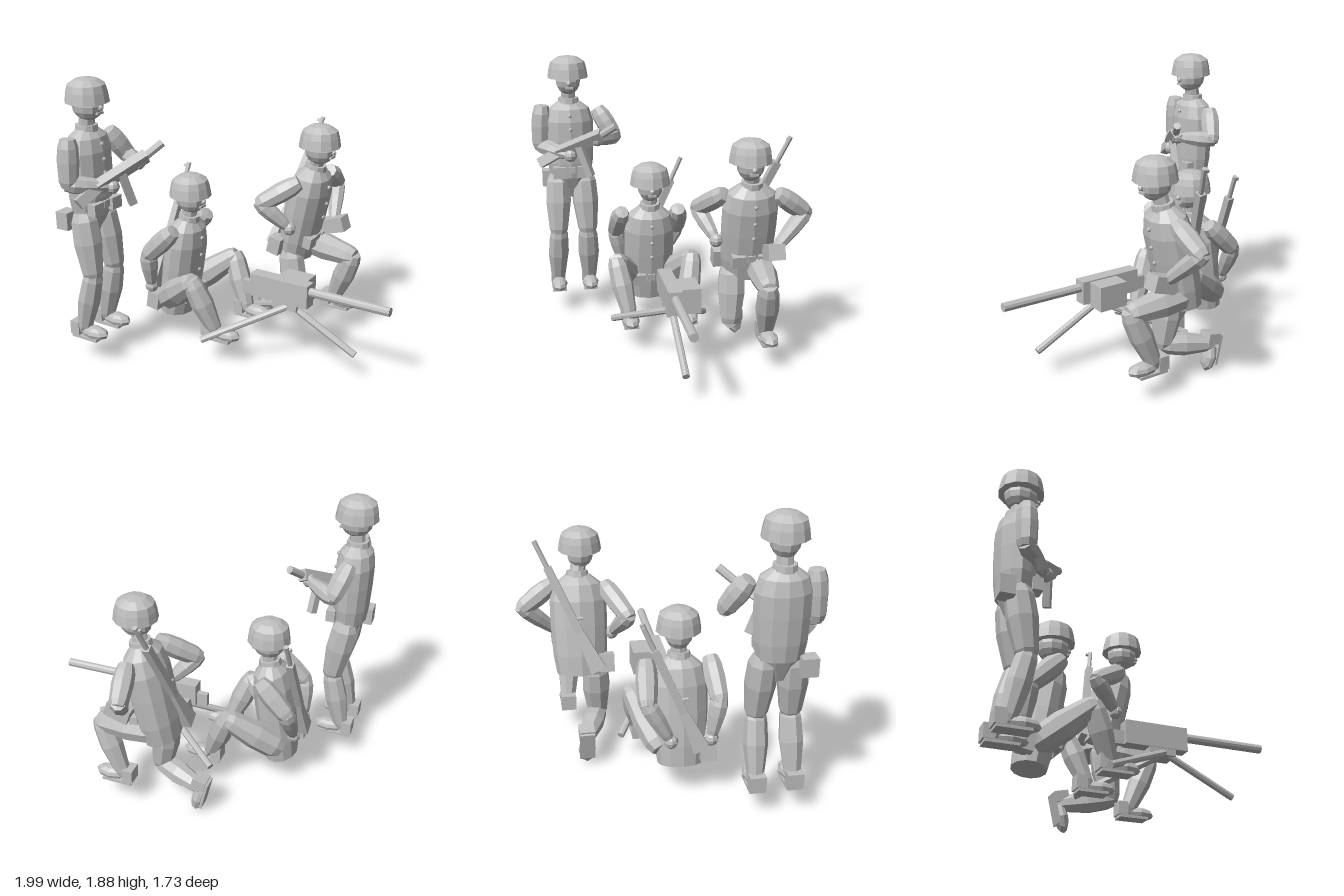
import * as THREE from 'three';

const grey = new THREE.MeshStandardMaterial({ color: 0xbfbfbf, flatShading: true });
grey.name = 'plain grey';
const UP = new THREE.Vector3(0, 1, 0);
const V = (p) => new THREE.Vector3(...p);

function add(parent, name, geo, pos = [0, 0, 0], scale = [1, 1, 1]) {
  const m = new THREE.Mesh(geo, grey);
  m.name = name;
  m.position.set(...pos);
  m.scale.set(...scale);
  parent.add(m);
  return m;
}
const box = (parent, name, size, pos) => add(parent, name, new THREE.BoxGeometry(...size), pos);
const lathe = (pts, sides) => new THREE.LatheGeometry(pts.map(([r, y]) => new THREE.Vector2(r, y)), sides);

// Group whose +y axis runs from a to b
function along(parent, name, a, b) {
  const g = new THREE.Group();
  g.name = name;
  const d = V(b).sub(V(a));
  g.position.set(...a);
  g.userData.length = d.length();
  g.quaternion.setFromUnitVectors(UP, d.normalize());
  parent.add(g);
  return g;
}

// Faceted sleeve or trouser section with rounded ends
function limb(parent, name, a, b, [r0, rm, r1], sides = 8) {
  const g = along(parent, name, a, b), L = g.userData.length;
  add(g, name + 'Section', lathe([[0, -0.03], [r0 * 0.75, -0.025], [r0, 0.03], [rm, L * 0.45],
    [r1, L - 0.02], [r1 * 0.75, L + 0.02], [0, L + 0.025]], sides));
}
function rod(parent, name, a, b, r, sides = 8) {
  const g = along(parent, name, a, b), L = g.userData.length;
  add(g, name + 'Rod', new THREE.CylinderGeometry(r, r, L, sides), [0, L / 2, 0]);
}
function bar(parent, name, a, b, w, d) {
  const g = along(parent, name, a, b), L = g.userData.length;
  box(g, name + 'Bar', [w, L, d], [0, L / 2, 0]);
}

// Shoe pointing along +x, turned by pitch
function shoe(parent, ankle, pitch = 0) {
  const g = new THREE.Group();
  g.name = 'shoe';
  g.position.set(...ankle);
  g.rotation.z = pitch;
  add(g, 'toe', new THREE.SphereGeometry(1, 8, 6), [0.085, -0.015, 0], [0.105, 0.045, 0.058]);
  box(g, 'heel', [0.07, 0.09, 0.1], [-0.045, 0.005, 0]);
  box(g, 'sole', [0.2, 0.018, 0.1], [0.03, -0.05, 0]);
  parent.add(g);
}

function leg(parent, hip, knee, ankle, pitch) {
  limb(parent, 'thigh', hip, knee, [0.088, 0.094, 0.07]);
  limb(parent, 'shin', knee, ankle, [0.068, 0.076, 0.052]);
  shoe(parent, [ankle[0], ankle[1], ankle[2]], pitch);
}

function arm(parent, shoulder, elbow, hand) {
  limb(parent, 'upperArm', shoulder, elbow, [0.064, 0.068, 0.06]);
  const wrist = V(elbow).lerp(V(hand), 0.85).toArray();
  limb(parent, 'forearm', elbow, wrist, [0.058, 0.056, 0.042]);
  add(parent, 'hand', new THREE.SphereGeometry(0.045, 8, 6), hand);
}

function head(parent, [x, y, z]) {
  const g = new THREE.Group();
  g.name = 'head';
  g.position.set(x, y, z);
  add(g, 'face', new THREE.SphereGeometry(1, 10, 8), [0, 0, 0], [0.105, 0.1, 0.087]);
  add(g, 'helmet', lathe([[0, 0.03], [0.14, 0.02], [0.13, 0.085], [0.118, 0.128], [0.07, 0.16], [0, 0.173]], 12));
  add(g, 'nose', new THREE.SphereGeometry(0.018, 6, 5), [0.104, -0.01, 0]);
  box(g, 'moustache', [0.02, 0.014, 0.055], [0.092, -0.042, 0]);
  parent.add(g);
}

// Tunic from waist to collar, with buttons, belt pouches and neck
function torso(parent, bottom, top, width, beltAt, headPos) {
  const g = along(parent, 'torso', bottom, top), L = g.userData.length, k = 0.73;
  add(g, 'tunic', lathe([[0, 0], [width * 0.84, 0], [width * 0.95, L * 0.2], [width, L * 0.5],
    [width, L * 0.75], [width * 0.84, L * 0.91], [width * 0.44, L], [0, L]], 12), [0, 0, 0], [k, 1, 1]);
  add(g, 'collar', new THREE.CylinderGeometry(0.07, 0.075, 0.04, 10), [0, L + 0.005, 0]);
  for (const t of [0.5, 0.66, 0.84])
    add(g, 'button', new THREE.SphereGeometry(0.014, 6, 5), [width * k * (t > 0.8 ? 0.94 : 1), L * t, 0]);
  for (const s of [-1, 1]) box(g, 'beltPouch', [0.06, 0.08, 0.09], [width * k * 0.86, beltAt, s * 0.085]);
  box(g, 'buckle', [0.02, 0.045, 0.05], [width * k * 0.95, beltAt + 0.015, 0]);
  box(g, 'hipBag', [0.09, 0.115, 0.1], [-0.085, beltAt - 0.08, width * 0.87]);
  rod(parent, 'neck', top, headPos, 0.05);
}

function rifle(parent, butt, muzzle) {
  const g = along(parent, 'rifle', butt, muzzle), L = g.userData.length;
  const stock = new THREE.CylinderGeometry(0.035, 0.075, L * 0.32, 4).rotateY(Math.PI / 4);
  add(g, 'stock', stock, [0, L * 0.16, 0], [0.6, 1, 1]);
  box(g, 'foreStock', [0.045, L * 0.5, 0.05], [0, L * 0.55, 0]);
  add(g, 'barrel', new THREE.CylinderGeometry(0.016, 0.016, L * 0.25, 8), [0, L * 0.875, 0]);
  box(g, 'sight', [0.045, 0.02, 0.015], [-0.01, L * 0.97, 0]);
  rod(g, 'bolt', [0, L * 0.4, 0], [0, L * 0.38, 0.06], 0.01, 6);
}

function standingSoldier() {
  const g = new THREE.Group();
  g.name = 'standingSoldier';
  const h = [-0.84, 1.69, 0.61];
  head(g, h);
  torso(g, [-0.855, 1.0, 0.61], [-0.86, 1.54, 0.61], 0.17, 0.05, h);
  add(g, 'pelvis', lathe([[0, 0.85], [0.05, 0.85], [0.15, 1.0], [0.15, 1.03], [0, 1.03]], 10),
    [-0.85, 0, 0.61], [0.65, 1, 1]);
  for (const s of [-1, 1])
    leg(g, [-0.85, 0.99, 0.61 + s * 0.09], [-0.79, 0.6, 0.61 + s * 0.105], [-0.885, 0.205, 0.61 + s * 0.115]);
  arm(g, [-0.85, 1.49, 0.8], [-0.85, 1.23, 0.815], [-0.67, 1.19, 0.62]);
  arm(g, [-0.85, 1.46, 0.4], [-0.79, 1.29, 0.3], [-0.6, 1.31, 0.44]);
  // Short gun held across the chest
  bar(g, 'gunReceiver', [-0.73, 1.2, 0.7], [-0.56, 1.355, 0.41], 0.06, 0.075);
  rod(g, 'gunBarrel', [-0.56, 1.355, 0.41], [-0.5, 1.425, 0.32], 0.026);
  bar(g, 'gunStock', [-0.73, 1.2, 0.7], [-0.77, 1.12, 0.83], 0.05, 0.07);
  bar(g, 'gunMagazine', [-0.64, 1.26, 0.56], [-0.62, 1.05, 0.49], 0.045, 0.05);
  return g;
}

function sittingSoldier() {
  const g = new THREE.Group();
  g.name = 'sittingSoldier';
  const h = [-0.45, 1.0, 0.1];
  head(g, h);
  torso(g, [-0.575, 0.18, 0.1], [-0.465, 0.86, 0.1], 0.175, 0.17, h);
  for (const s of [-1, 1]) {
    leg(g, [-0.57, 0.3, 0.1 + s * 0.13], [-0.27, 0.53, 0.1 + s * 0.26], [-0.14, 0.2, 0.1 + s * 0.2]);
    arm(g, [-0.47, 0.81, 0.1 + s * 0.2], [-0.65, 0.63, 0.1 + s * 0.22], [-0.67, 0.38, 0.1 + s * (s > 0 ? 0.17 : 0.08)]);
  }
  rifle(g, [-0.7, 0.33, 0.2], [-0.63, 1.15, -0.15]);
  return g;
}

function kneelingSoldier() {
  const g = new THREE.Group();
  g.name = 'kneelingSoldier';
  const h = [0.23, 1.305, -0.425];
  head(g, h);
  torso(g, [0.05, 0.53, -0.455], [0.19, 1.17, -0.45], 0.185, 0.16, h);
  leg(g, [0.09, 0.6, -0.53], [0.46, 0.56, -0.5], [0.31, 0.205, -0.53]);
  // Kneeling leg, folded behind
  leg(g, [0.06, 0.56, -0.36], [0.11, 0.21, -0.345], [-0.19, 0.17, -0.45], -1.35);
  arm(g, [0.14, 1.09, -0.27], [-0.06, 0.955, -0.15], [0.11, 0.78, -0.24]);
  arm(g, [0.21, 1.09, -0.63], [0.18, 0.96, -0.81], [0.27, 0.74, -0.58]);
  box(g, 'handCase', [0.16, 0.1, 0.11], [0.29, 0.74, -0.575]).rotation.z = 0.3;
  rifle(g, [-0.08, 0.6, -0.35], [0.1, 1.44, -0.72]);
  return g;
}

function machineGun() {
  const g = new THREE.Group();
  g.name = 'tripodGun';
  box(g, 'receiver', [0.42, 0.155, 0.09], [0.24, 0.5, 0.09]);
  box(g, 'rearGrip', [0.075, 0.09, 0.04], [-0.005, 0.465, 0.09]);
  rod(g, 'barrel', [0.45, 0.528, 0.09], [1, 0.528, 0.09], 0.029, 10);
  box(g, 'ammunitionBox', [0.2, 0.165, 0.125], [0.3, 0.487, -0.02]);
  box(g, 'mount', [0.18, 0.08, 0.08], [0.28, 0.42, 0.09]);
  rod(g, 'frontTripodLeg', [0.32, 0.4, 0.09], [0.775, 0.17, 0.09], 0.023);
  for (const s of [-1, 1]) rod(g, 'rearTripodLeg', [0.3, 0.4, 0.09 + s * 0.02], [-0.18, 0.16, 0.09 + s * 0.315], 0.023);
  return g;
}

export function createModel() {
  const model = new THREE.Group();
  model.name = 'gunCrew';
  model.add(standingSoldier(), sittingSoldier(), kneelingSoldier(), machineGun());
  return model;
}
